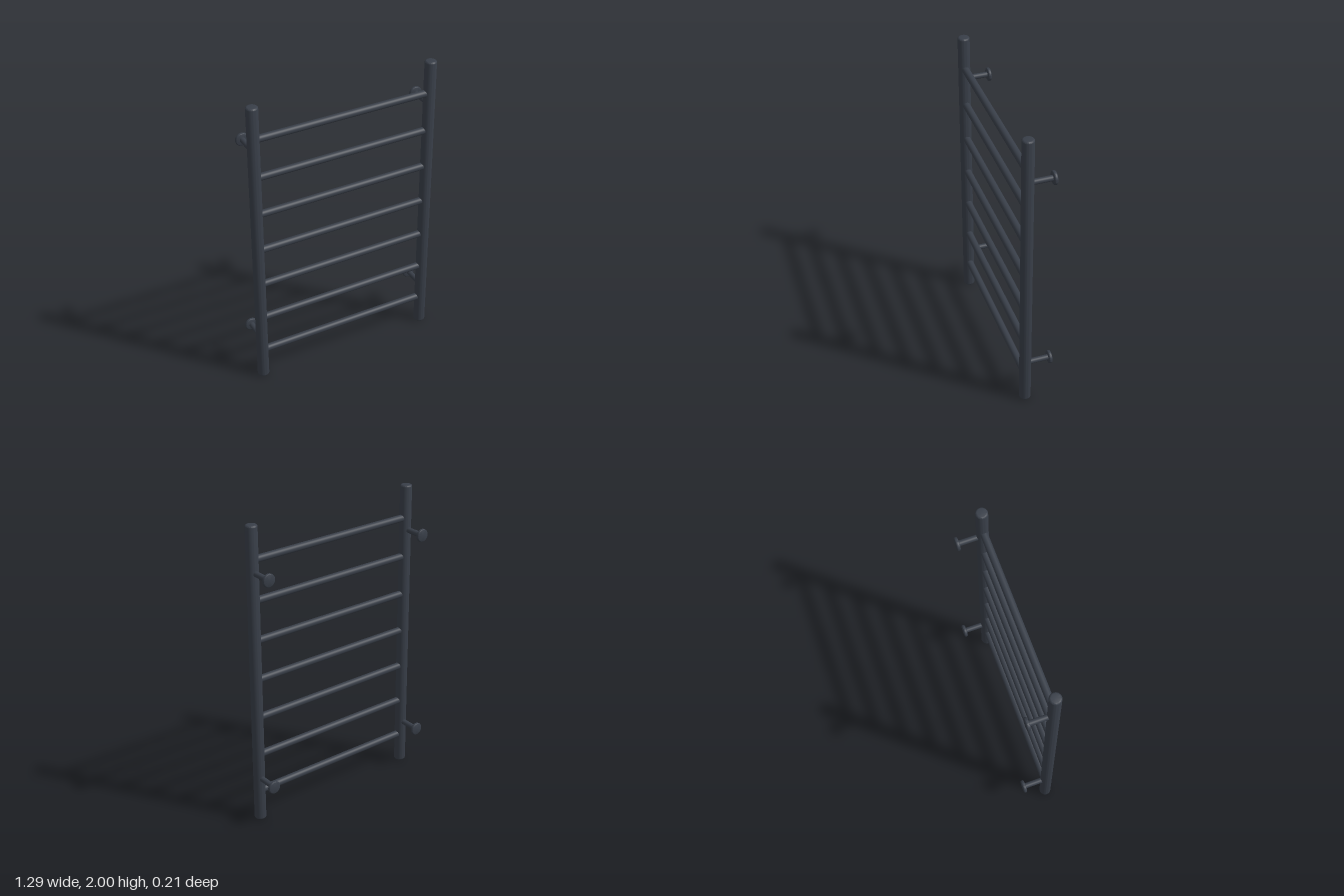
import * as THREE from 'three';
import { toCreasedNormals } from 'three/addons/utils/BufferGeometryUtils.js';

const POST_X = 0.6, POST_Z = 0.067;

// Solid round bar along y, centred, with rounded rims
function roundedBar(radius, length, bevel, sides = 40) {
  const h = length / 2, steps = 4, profile = [new THREE.Vector2(0, -h)];
  for (const end of [-1, 1]) {
    for (let i = 0; i <= steps; i++) {
      const a = (end < 0 ? i - steps : i) / steps * Math.PI / 2;
      profile.push(new THREE.Vector2(
        radius - bevel + bevel * Math.cos(a),
        end * (h - bevel) + bevel * Math.sin(a)));
    }
  }
  profile.push(new THREE.Vector2(0, h));
  return toCreasedNormals(new THREE.LatheGeometry(profile, sides), 0.6);
}

export function createModel() {
  const model = new THREE.Group();
  model.name = 'towelRail';
  const darkMetal = new THREE.MeshStandardMaterial({ color: 0x383e48 });
  darkMetal.name = 'anthracite metal';

  const add = (name, geometry, x, y, z) => {
    const mesh = new THREE.Mesh(geometry, darkMetal);
    mesh.name = name;
    mesh.position.set(x, y, z);
    model.add(mesh);
  };

  const postGeo = roundedBar(0.038, 2, 0.012);
  const rungGeo = new THREE.CylinderGeometry(0.0235, 0.0235, 2 * POST_X, 32, 1, true).rotateZ(Math.PI / 2);
  const armGeo = new THREE.CylinderGeometry(0.018, 0.018, 0.16, 28, 1, true).rotateX(Math.PI / 2);
  const flangeGeo = roundedBar(0.043, 0.022, 0.009).rotateX(Math.PI / 2);

  // Uprights with their wall brackets
  for (const [side, x] of [['left', POST_X], ['right', -POST_X]]) {
    add(`${side}Post`, postGeo, x, 1, POST_Z);
    for (const [level, y] of [['Lower', 0.302], ['Upper', 1.702]]) {
      add(`${side}${level}BracketArm`, armGeo, x, y, POST_Z - 0.08);
      add(`${side}${level}WallFlange`, flangeGeo, x, y, -0.094);
    }
  }

  // Seven evenly spaced rungs
  for (let i = 0; i < 7; i++) add(`rung${i + 1}`, rungGeo, 0, 0.204 + i * 0.2627, POST_Z);

  return model;
}
